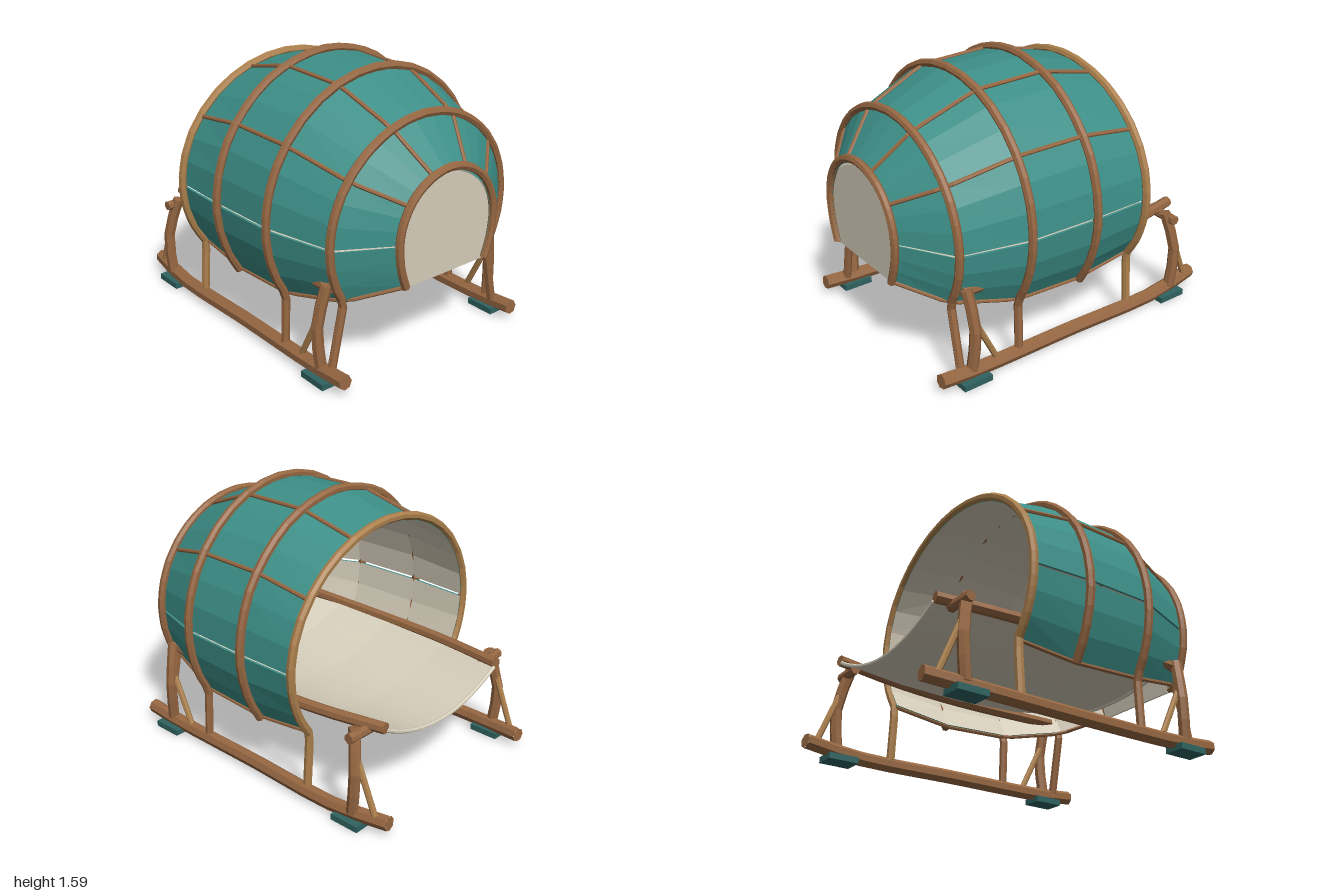
import * as THREE from 'three';
import { mergeGeometries } from 'three/addons/utils/BufferGeometryUtils.js';

const mat = (name, color, side = THREE.FrontSide) => {
  const m = new THREE.MeshStandardMaterial({ color, side, flatShading: true });
  m.name = name;
  return m;
};
const V = (x, y, z) => new THREE.Vector3(x, y, z);

// Hoop stations from front to back: centre height, radii, lower end, leg to the skid
const stations = [
  { z: 0.98, cy: 0.80, rx: 0.345, ry: 0.355, low: 0.47, end: 0.55, r: 0.024 },
  { z: 0.77, cy: 0.78, rx: 0.635, ry: 0.612, low: 0.61, end: 0.46, r: 0.025, leg: 0.62 },
  { z: 0.385, cy: 0.80, rx: 0.757, ry: 0.755, low: 0.755, end: 0.38, r: 0.025, leg: 0.64 },
  { z: -0.055, cy: 0.80, rx: 0.772, ry: 0.765, low: 0.765, end: 0.36, r: 0.026 },
  { z: -0.43, cy: 0.795, rx: 0.76, ry: 0.68, low: 0.68, end: 0.40, r: 0.025, leg: 0.64 },
];
const endAngle = (s) => Math.asin((s.end - s.cy) / s.low);
const at = (s, t, off = 0) => {
  const sn = Math.sin(t);
  return V((s.rx + off) * Math.cos(t), s.cy + ((sn < 0 ? s.low : s.ry) + off) * sn, s.z);
};

// Surface through a grid of points; flip turns its front to the other side
function grid(rows, flip = false) {
  const pos = [], idx = [], n = rows[0].length;
  rows.forEach((row) => row.forEach((p) => pos.push(p.x, p.y, p.z)));
  for (let i = 0; i < rows.length - 1; i++)
    for (let j = 0; j < n - 1; j++) {
      const a = i * n + j, b = a + n, c = a + 1, d = b + 1;
      idx.push(...(flip ? [a, c, b, b, c, d] : [a, b, c, b, d, c]));
    }
  const g = new THREE.BufferGeometry();
  g.setAttribute('position', new THREE.Float32BufferAttribute(pos, 3));
  g.setIndex(idx);
  const flat = g.toNonIndexed();
  flat.computeVertexNormals();
  return flat;
}

// Capped six-sided pole through points; straight keeps the corners
function pole(pts, r, steps = 1, straight = false) {
  let curve = new THREE.CatmullRomCurve3(pts);
  if (straight) {
    curve = new THREE.CurvePath();
    for (let i = 1; i < pts.length; i++) curve.add(new THREE.LineCurve3(pts[i - 1], pts[i]));
  }
  const parts = [new THREE.TubeGeometry(curve, steps, r, 7, false)];
  for (const u of [0, 1]) {
    const dir = curve.getTangentAt(u).multiplyScalar(u ? 1 : -1);
    const cap = new THREE.CircleGeometry(r, 7);
    cap.applyQuaternion(new THREE.Quaternion().setFromUnitVectors(V(0, 0, 1), dir));
    const p = curve.getPointAt(u);
    parts.push(cap.translate(p.x, p.y, p.z));
  }
  return mergeGeometries(parts);
}

export function createModel() {
  const model = new THREE.Group();
  const teal = mat('tealCanvas', 0x3d8f88, THREE.DoubleSide);
  const cream = mat('creamCanvas', 0xd6cebb, THREE.DoubleSide);
  const wood = mat('brownWood', 0x966742);
  const paleWood = mat('paleWood', 0xab7f4c);
  const pad = mat('darkTealPad', 0x2f6361);
  const add = (name, geo, material) => {
    const m = new THREE.Mesh(geo, material);
    m.name = name;
    model.add(m);
    return m;
  };

  // Canvas cover in three panels, leaving a narrow slit along each side
  const gap = 0.012;
  const panels = [
    ['roofCanvas', 15, () => gap, () => Math.PI - gap],
    ['leftLowerCanvas', 3, endAngle, () => -gap],
    ['rightLowerCanvas', 3, () => Math.PI + gap, (s) => Math.PI - endAngle(s)],
  ];
  for (const [name, n, from, to] of panels) {
    const rows = (off) => stations.map((s) => Array.from({ length: n + 1 }, (_, j) =>
      at(s, THREE.MathUtils.lerp(from(s), to(s), j / n), off)));
    const outer = rows(-0.012), inner = rows(-0.026);
    add(name, grid(outer), teal);
    add(name + 'Lining', grid(inner, true), cream);
    const col = (a, j) => a.map((row) => row[j]);
    add(name + 'Hem', mergeGeometries([
      grid([outer[0], inner[0]]), grid([outer[4], inner[4]]),
      grid([col(outer, 0), col(inner, 0)]), grid([col(outer, n), col(inner, n)]),
    ]), teal);
  }

  // Hoops, three of them with legs down to the skids
  stations.forEach((s, k) => {
    const a = endAngle(s), pts = [];
    if (s.leg) pts.push(V(s.leg, 0.08, s.z));
    for (let i = 0; i <= 24; i++) pts.push(at(s, THREE.MathUtils.lerp(a, Math.PI - a, i / 24)));
    if (s.leg) pts.push(V(-s.leg, 0.08, s.z));
    add('hoop' + (k + 1), pole(pts, s.r, s.leg ? 56 : 32, true), k === 4 ? paleWood : wood);
  });

  // Long thin ribs over the canvas, and along its lower hems
  for (const deg of [36, 70, 110, 144])
    add('roofRib', pole(stations.map((s) => at(s, deg * Math.PI / 180, -0.008)), 0.012, 16, true), wood);
  for (const side of [0, 1])
    add('hemRib', pole(stations.map((s) => {
      const a = endAngle(s);
      return at(s, side ? Math.PI - a : a, -0.01);
    }), 0.012, 16, true), wood);

  // Arched front panel
  const arch = new THREE.Shape();
  arch.moveTo(-0.285, 0.54);
  arch.lineTo(0.285, 0.54);
  arch.lineTo(0.318, 0.68);
  arch.absellipse(0, 0.79, 0.325, 0.325, 0, Math.PI, false);
  arch.lineTo(-0.318, 0.68);
  const front = new THREE.ExtrudeGeometry(arch, { depth: 0.012, bevelEnabled: false, curveSegments: 12 });
  add('frontPanel', front.translate(0, 0, 0.958), cream);

  // Sagging sling bed: z, half width, edge height, middle height
  const sling = [
    [-0.865, 0.49, 0.54, 0.405], [-0.43, 0.55, 0.53, 0.397], [0, 0.57, 0.53, 0.405],
    [0.4, 0.55, 0.545, 0.435], [0.73, 0.47, 0.57, 0.5],
  ].map(([z, w, e, m]) => Array.from({ length: 17 }, (_, j) => {
    const u = j / 8 - 1;
    return V(-u * w, m + (e - m) * u * u, z);
  }));
  add('slingBed', grid(sling), cream);
  add('slingBackHem', pole(sling[0], 0.012, 16), cream);
  add('slingFrontHem', pole(sling[4], 0.012, 16), cream);

  // Frame on each side
  for (const m of [1, -1]) {
    const path = (...p) => p.map(([x, y, z]) => V(m * x, y, z));
    add('slingPole', pole(path([0.505, 0.56, -0.87], [0.575, 0.547, -0.43], [0.6, 0.54, 0], [0.59, 0.545, 0.73]), 0.033, 10), wood);
    add('skid', pole(path([0.64, 0.078, 0.91], [0.64, 0.06, 0.68], [0.64, 0.055, 0],
      [0.65, 0.055, -0.65], [0.61, 0.078, -0.995]), 0.043, 10), wood);
    add('frontPost', pole(path([0.645, 0.07, 0.71], [0.66, 0.32, 0.695], [0.61, 0.565, 0.715]), 0.034, 4), wood);
    add('backPost', pole(path([0.655, 0.07, -0.775], [0.66, 0.32, -0.795], [0.61, 0.565, -0.745]), 0.034, 4), wood);
    add('backCrossPeg', pole(path([0.5, 0.53, -0.77], [0.68, 0.53, -0.765]), 0.03), wood);
    add('frontBrace', pole(path([0.64, 0.4, 0.7], [0.645, 0.09, 0.545]), 0.018), paleWood);
    add('backBrace', pole(path([0.64, 0.41, -0.79], [0.635, 0.09, -0.92]), 0.018), paleWood);
    for (const z of [0.71, -0.76])
      add('footPad', new THREE.BoxGeometry(0.125, 0.036, 0.185).translate(m * 0.647, 0.018, z), pad);
  }
  return model;
}
